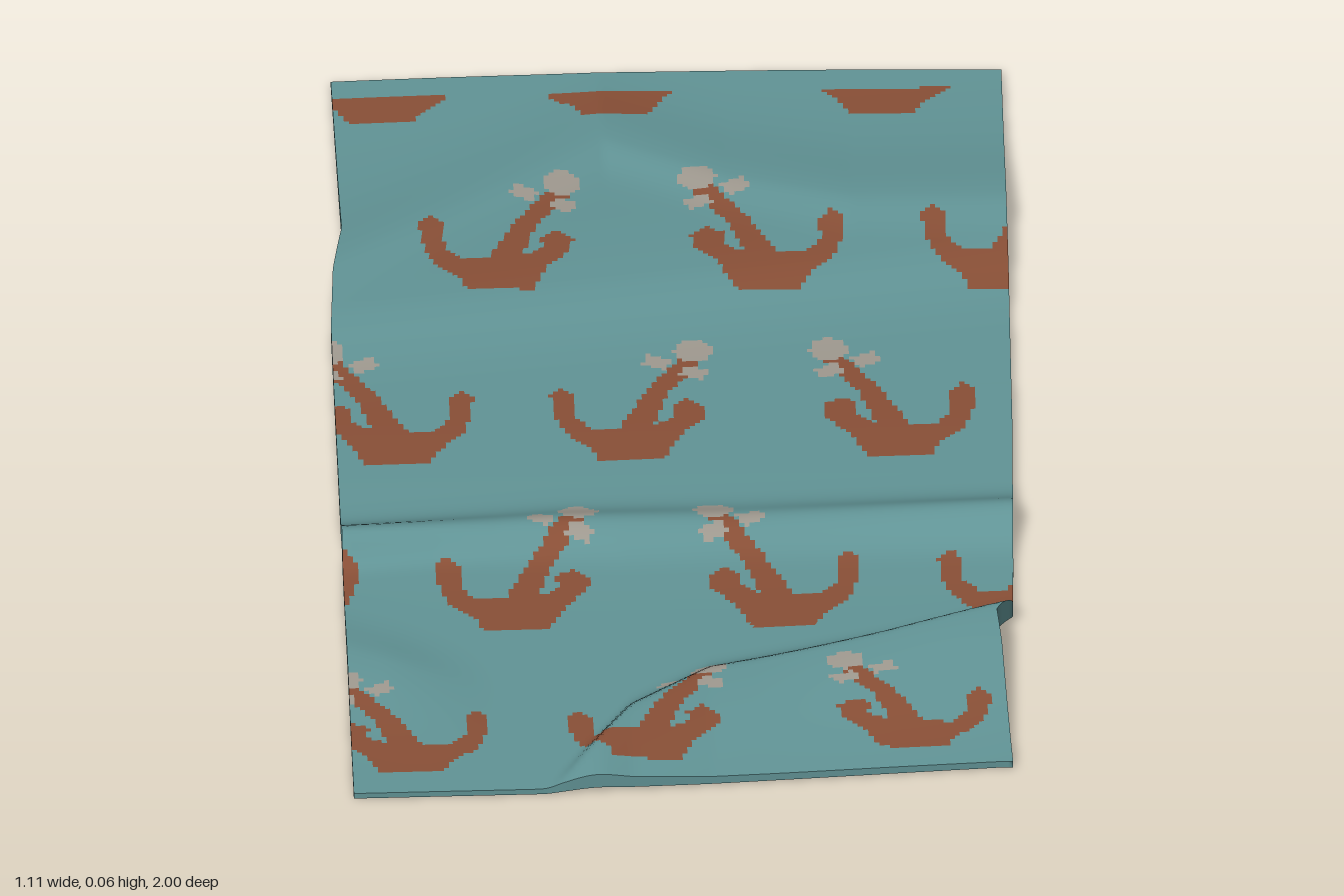
import * as THREE from 'three';

const COLS = 130, ROWS = 246;

const bell = (d, back, front) => Math.exp(-((d / (d < 0 ? back : front)) ** 2));
const smooth = THREE.MathUtils.smoothstep;

// Linear interpolation through [position, value] stops
function along(stops, p) {
  for (let i = 1; i < stops.length; i++) {
    const [p0, v0] = stops[i - 1], [p1, v1] = stops[i];
    if (p <= p1) return v0 + (v1 - v0) * Math.max(0, (p - p0) / (p1 - p0));
  }
  return stops[stops.length - 1][1];
}

// Slightly uneven outline of the cloth
const leftEdge = [[-1, -0.535], [-0.55, -0.53], [-0.42, -0.548], [-0.28, -0.555], [1, -0.555]];
const rightEdge = [[-1, 0.553], [-0.4, 0.548], [0, 0.542], [0.4, 0.532], [0.54, 0.527], [0.58, 0.5], [0.66, 0.506], [1, 0.518]];
const frontEdge = [[-0.56, 0.998], [-0.2, 0.994], [0.52, 0.943]];

// Crest lines of the folds, z as a function of x
const middleFold = [[-0.55, 0.325], [-0.2, 0.29], [0.55, 0.275]];
const middleHeight = [[-0.55, 0.042], [-0.3, 0.032], [0.1, 0.025], [0.55, 0.036]];
const middleFront = [[-0.4, 0.035], [-0.1, 0.055]];
const frontFold = [[-0.25, 1.04], [-0.2, 0.97], [-0.1, 0.81], [0.03, 0.71], [0.32, 0.63], [0.53, 0.56]];
const backFold = [[-0.55, -0.45], [-0.1, -0.8], [0.1, -0.68], [0.3, -0.61], [0.55, -0.6]];

function height(x, z) {
  let y = 0.01 + 0.007 * bell(z - 0.1, 0.3, 0.25);
  // narrow fold right across the cloth
  y += along(middleHeight, x) * bell(z - along(middleFold, x), 0.05, along(middleFront, x));
  // diagonal fold, steep behind and gentle in front
  y += (0.03 + 0.02 * smooth(x, 0.1, 0.52)) * smooth(x, -0.27, -0.14) * bell(z - along(frontFold, x), 0.035, 0.22);
  // low swell and creases near the back
  y += 0.022 * bell(z + 0.42 + 0.15 * x, 0.3, 0.12);
  y += 0.014 * bell(z - along(backFold, x), 0.13, 0.07);
  // small crease in the front left-hand corner
  y += 0.012 * smooth(-x, 0.3, 0.5) * bell(z - 0.62 - 0.5 * (x + 0.55), 0.08, 0.14);
  return y;
}

// Anchor shank and arms, in hundredths, measured from the mirror line and the ring
const anchor = [
  [-13, 1], [-10, 3], [-15.5, 11.5], [-18, 20.5], [-14.5, 18], [-15, 15], [-12.5, 13], [-9.5, 15.5],
  [-10, 19], [-13.5, 23], [-16.5, 30], [-27, 30], [-28, 27], [-32.5, 22], [-34, 17], [-34.5, 11.5],
  [-32.5, 9.5], [-30.5, 12], [-30.5, 17.5], [-28, 21], [-23.5, 21], [-19, 10.5],
];

function insideAnchor(u, v) {
  let inside = false;
  for (let i = 0, j = anchor.length - 1; i < anchor.length; j = i++) {
    const [ax, ay] = anchor[i], [bx, by] = anchor[j];
    if ((ay > v) !== (by > v) && u < ((bx - ax) * (v - ay)) / (by - ay) + ax) inside = !inside;
  }
  return inside;
}

// Rows of the print: ring position, stretch (left and right), sideways shift, first visible part
const row = (z, shift, scale = 1, rightScale = scale, from = -5) => ({ z, shift, scale, rightScale, from });
const topPrint = [
  row(-1.11, 0.2, 0.8, 0.8, 21), row(-0.67, 0), row(-0.21, 0.2), row(0.26, 0, 0.97), row(0.7, 0.2, 0.8, 0.68),
];
// The underside print points the other way, so its z is reversed
const undersidePrint = [row(-0.67, -0.27), row(-0.21, -0.07), row(0.25, -0.27), row(0.7, -0.07, 0.8)];

// 0 = cloth, 1 = anchor, 2 = ring and stock
function printAt(x, z, print) {
  for (const r of print) {
    const v = ((z - r.z) * 100) / (x > 0.1 ? r.rightScale : r.scale);
    if (v < r.from || v > 31) continue;
    const period = 81.5;
    const u = -Math.abs(THREE.MathUtils.euclideanModulo((x + 0.06 - r.shift) * 100 + period / 2, period) - period / 2);
    if (Math.hypot(u + 11, v + 0.5) < 3.1) return 2;
    // stock crosses the shank
    const du = u + 14, dv = v - 4;
    const across = Math.abs(du * 0.9 + dv * 0.45);
    if (across > 1.4 && across < 5.5 && Math.abs(dv * 0.9 - du * 0.45) < 1.5) return 2;
    if (insideAnchor(u, v)) return 1;
  }
  return 0;
}

// Outline position of a grid point
function plan(i, j) {
  const guessX = -0.55 + (1.09 * i) / COLS;
  const backZ = -1 + 0.012 * (guessX / 0.55) ** 2;
  const z = THREE.MathUtils.lerp(backZ, along(frontEdge, guessX), j / ROWS);
  return [THREE.MathUtils.lerp(along(leftEdge, z), along(rightEdge, z), i / COLS), z];
}

const topY = (x, z) => height(x, z);
const undersideY = (x, z) => 0.35 * (height(x, z) - 0.01);

// One printed face of the towel, its cells sorted by colour
function clothFace(name, surfaceY, colourAt, facesDown, materials) {
  const points = [];
  for (let j = 0; j <= ROWS; j++) {
    for (let i = 0; i <= COLS; i++) {
      const [x, z] = plan(i, j);
      points.push(x, surfaceY(x, z), z);
    }
  }
  const faces = [[], [], []];
  for (let j = 0; j < ROWS; j++) {
    for (let i = 0; i < COLS; i++) {
      const a = j * (COLS + 1) + i, b = a + COLS + 1;
      const [x, z] = plan(i + 0.5, j + 0.5);
      const list = faces[colourAt(x, z)];
      if (facesDown) list.push(a, b + 1, b, a, a + 1, b + 1);
      else list.push(a, b, b + 1, a, b + 1, a + 1);
    }
  }
  const geometry = new THREE.BufferGeometry();
  geometry.setAttribute('position', new THREE.Float32BufferAttribute(points, 3));
  geometry.setIndex(faces.flat());
  let start = 0;
  faces.forEach((list, k) => {
    geometry.addGroup(start, list.length, k);
    start += list.length;
  });
  geometry.computeVertexNormals();
  const mesh = new THREE.Mesh(geometry, materials);
  mesh.name = name;
  return mesh;
}

// Thin strip closing the rim between both faces
function hem(material) {
  const rim = [];
  for (let j = 0; j < ROWS; j++) rim.push([0, j]);
  for (let i = 0; i < COLS; i++) rim.push([i, ROWS]);
  for (let j = ROWS; j > 0; j--) rim.push([COLS, j]);
  for (let i = COLS; i >= 0; i--) rim.push([i, 0]);
  const points = [], index = [];
  rim.forEach(([i, j], k) => {
    const [x, z] = plan(i, j);
    points.push(x, topY(x, z), z, x, undersideY(x, z), z);
    const t = k * 2;
    if (k < rim.length - 1) index.push(t, t + 1, t + 3, t, t + 3, t + 2);
  });
  const geometry = new THREE.BufferGeometry();
  geometry.setAttribute('position', new THREE.Float32BufferAttribute(points, 3));
  geometry.setIndex(index);
  geometry.computeVertexNormals();
  const mesh = new THREE.Mesh(geometry, material);
  mesh.name = 'hem';
  return mesh;
}

function clothMaterial(name, color) {
  const material = new THREE.MeshStandardMaterial({ color, side: THREE.DoubleSide });
  material.name = name;
  return material;
}

export function createModel() {
  const materials = [
    clothMaterial('teal cloth', 0x629597),
    clothMaterial('rust print', 0x8a5037),
    clothMaterial('beige print', 0xa09a90),
  ];
  const model = new THREE.Group();
  model.name = 'rumpled towel';
  model.add(
    clothFace('towelTop', topY, (x, z) => printAt(x, z, topPrint), false, materials),
    clothFace('towelUnderside', undersideY, (x, z) => printAt(x, -z, undersidePrint), true, materials),
    hem(materials[0]),
  );
  return model;
}
